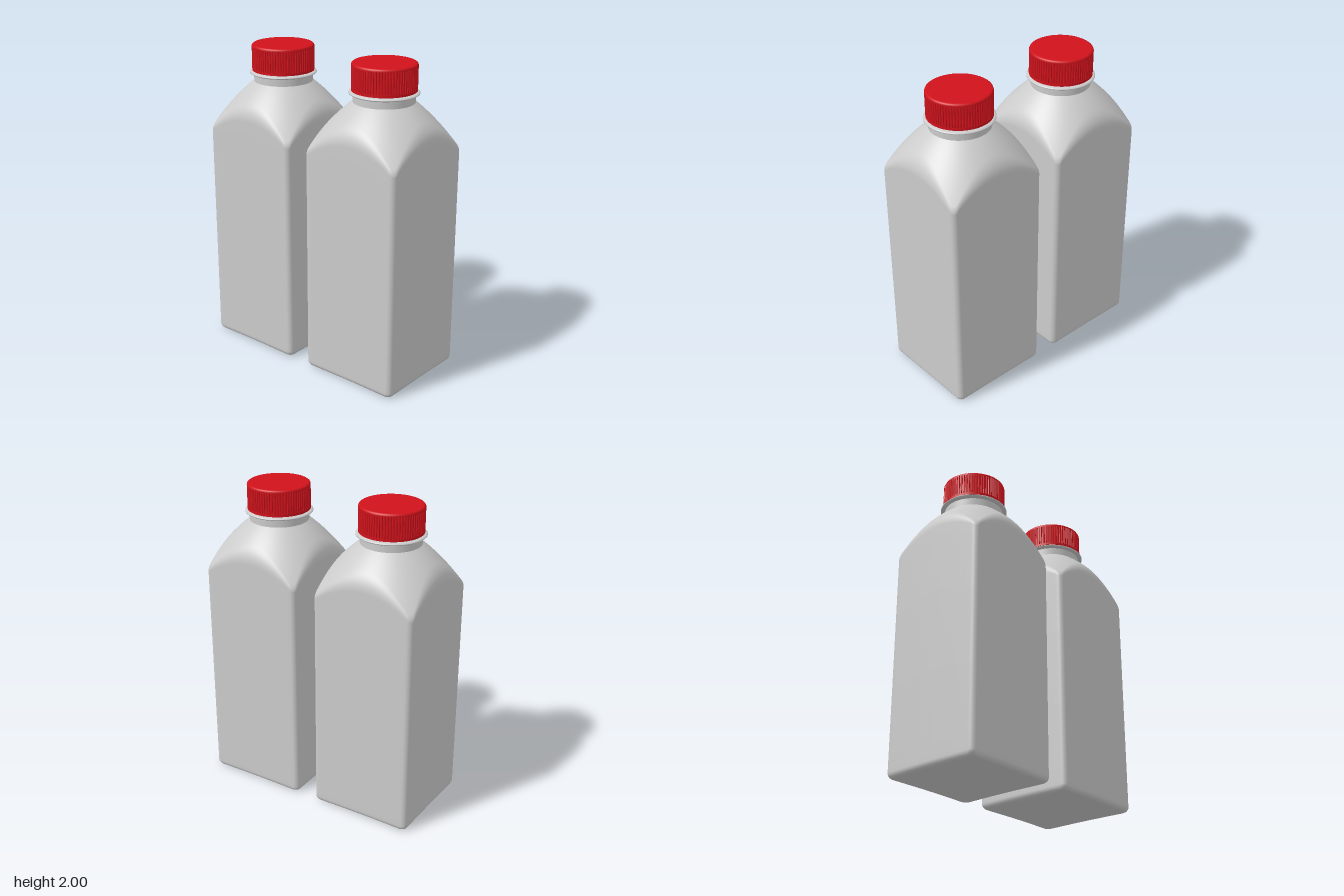
import * as THREE from 'three';

const HALF = 0.34, CORNER = 0.035, NECK_R = 0.188, SPACING = 0.407;
const domeY = (r) => { const t = Math.max(r - NECK_R, 0); return 1.762 - 0.8 * t - 1.0 * t * t; };

// Rounded square outline, running from +x towards +z
function outline() {
  const pts = [], inner = HALF - CORNER;
  for (let q = 0; q < 4; q++) {
    const side = [];
    for (let i = 0; i <= 24; i++) {
      const s = -Math.cos((i / 24) * Math.PI) * 0.35 + (i / 12 - 1) * 0.65;
      side.push([HALF, s * inner]);
    }
    for (let i = 1; i < 7; i++) {
      const a = (i / 7) * Math.PI / 2;
      side.push([inner + CORNER * Math.cos(a), inner + CORNER * Math.sin(a)]);
    }
    const c = [1, 0, -1, 0][q], s = [0, 1, 0, -1][q];
    for (const [x, z] of side) pts.push([x * c - z * s, x * s + z * c]);
  }
  return pts;
}

// Radius and height of one column, from the base centre up to the neck
function column(R) {
  const rows = [[0, 0], [R * 0.5, 0], [R - 0.05, 0]];
  const f = 0.035;
  for (let i = 0; i <= 6; i++) {
    const a = (i / 6) * Math.PI / 2;
    rows.push([R - f + f * Math.sin(a), f - f * Math.cos(a)]);
  }
  rows.push([R, 0.06]);
  // Soft edge between the wall and the dome, tighter at the corners
  const k = THREE.MathUtils.clamp((R - HALF) / 0.12, 0, 1);
  const e = THREE.MathUtils.lerp(0.05, 0.018, k);
  const low = domeY(R) - e * 1.3, topR = R - e;
  for (const t of [0.05, 0.35, 0.7, 0.95]) rows.push([R, THREE.MathUtils.lerp(0.06, low, t)]);
  for (let i = 0; i <= 8; i++) {
    const t = i / 8, u = 1 - t;
    rows.push([u * u * R + 2 * u * t * R + t * t * topR,
      u * u * low + 2 * u * t * domeY(R) + t * t * domeY(topR)]);
  }
  for (let i = 1; i <= 16; i++) {
    const r = THREE.MathUtils.lerp(topR, NECK_R, i / 16);
    rows.push([r, domeY(r)]);
  }
  return rows;
}

function bodyGeometry() {
  const pos = [], index = [], ring = outline(), n = ring.length;
  let m = 0;
  for (const [x, z] of ring) {
    const R = Math.hypot(x, z), rows = column(R);
    m = rows.length;
    for (const [r, y] of rows) pos.push((x / R) * r, y, (z / R) * r);
  }
  for (let i = 0; i < n; i++) {
    for (let j = 0; j < m - 1; j++) {
      const a = i * m + j, b = a + 1, c = ((i + 1) % n) * m + j, d = c + 1;
      index.push(a, b, d);
      if (j > 0) index.push(a, d, c);
    }
  }
  const g = new THREE.BufferGeometry();
  g.setAttribute('position', new THREE.Float32BufferAttribute(pos, 3));
  g.setIndex(index);
  g.computeVertexNormals();
  return g;
}

// Ribbed wall of the cap
function ribGeometry(count, height) {
  const shape = new THREE.Shape();
  for (let i = 0; i < count; i++) {
    [[0, 0.194], [0.2, 0.199], [0.65, 0.199], [0.85, 0.194]].forEach(([t, r], k) => {
      const a = ((i + t) / count) * Math.PI * 2;
      shape[i + k === 0 ? 'moveTo' : 'lineTo'](r * Math.cos(a), r * Math.sin(a));
    });
  }
  shape.closePath();
  return new THREE.ExtrudeGeometry(shape, { depth: height, bevelEnabled: false }).rotateX(-Math.PI / 2);
}

const lathe = (pts) => new THREE.LatheGeometry(pts.map(([r, y]) => new THREE.Vector2(r, y)), 64);

export function createModel() {
  const model = new THREE.Group();
  const plastic = new THREE.MeshStandardMaterial({ color: 0xcccccc, side: THREE.DoubleSide });
  const red = new THREE.MeshStandardMaterial({ color: 0xd0121b });

  const parts = [
    ['body', bodyGeometry(), plastic, 0],
    ['neck', new THREE.CylinderGeometry(NECK_R, NECK_R, 0.09, 64, 1, true), plastic, 1.8],
    ['neckRing', lathe([[0.18, 1.808], [0.205, 1.811], [0.214, 1.816], [0.214, 1.821], [0.205, 1.826], [0.18, 1.83]]), plastic, 0],
    ['capBand', new THREE.CylinderGeometry(0.199, 0.199, 0.016, 64), red, 1.84],
    ['capRibs', ribGeometry(72, 0.14), red, 1.847],
    ['capTop', lathe([[0.199, 1.982], [0.199, 1.988], [0.196, 1.995], [0.19, 1.999], [0.18, 2], [0, 2]]), red, 0],
  ];

  // Two matching bottles side by side
  for (const side of [1, -1]) {
    const bottle = new THREE.Group();
    bottle.name = side > 0 ? 'leftBottle' : 'rightBottle';
    for (const [name, geometry, material, y] of parts) {
      const mesh = new THREE.Mesh(geometry, material);
      mesh.name = name;
      mesh.position.y = y;
      bottle.add(mesh);
    }
    bottle.position.x = side * SPACING;
    model.add(bottle);
  }
  return model;
}
